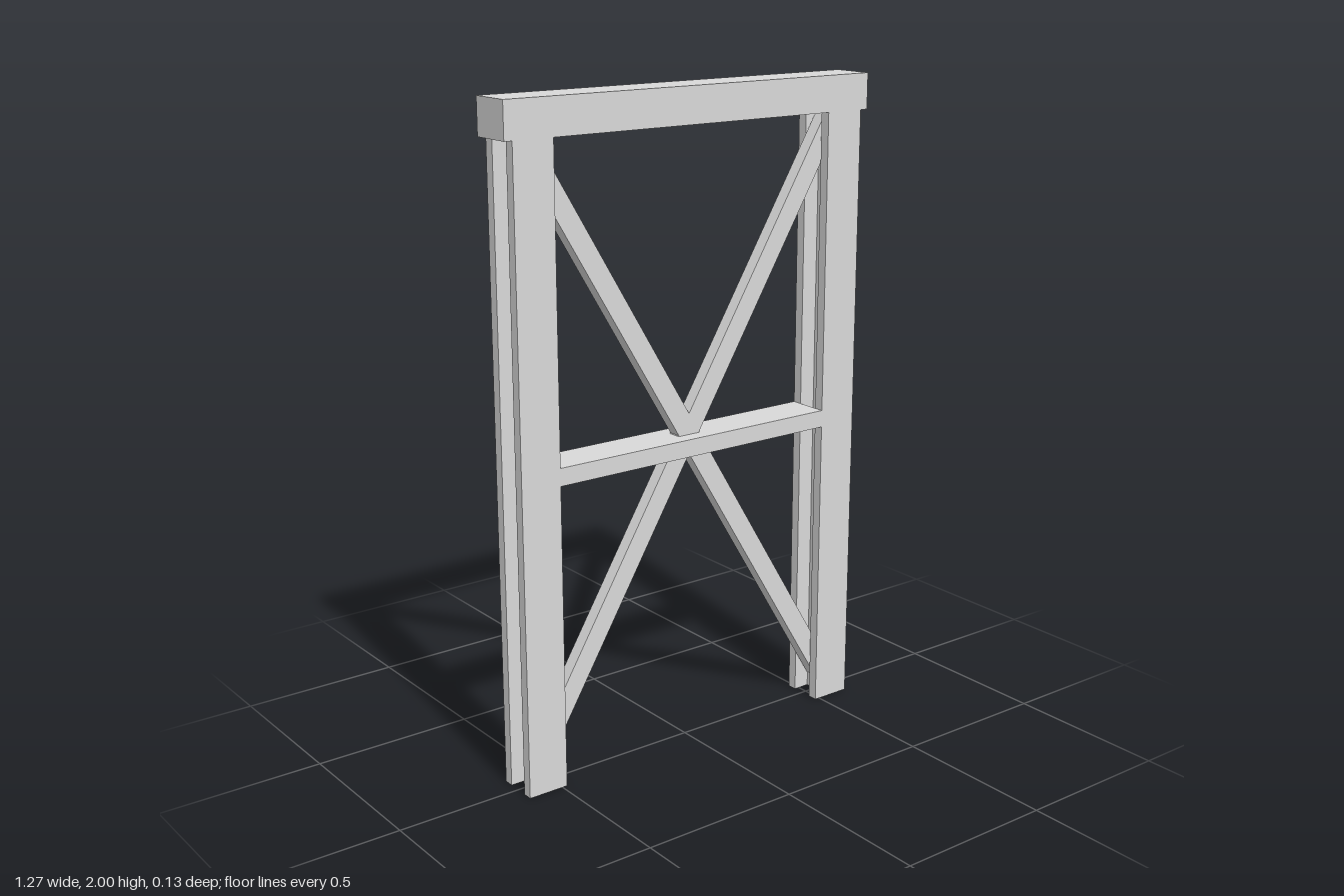
import * as THREE from 'three';

export function createModel() {
  const model = new THREE.Group();
  model.name = 'trestleFrame';
  const steel = new THREE.MeshStandardMaterial({ color: 0xd9d9d9 });
  steel.name = 'light grey steel';

  const add = (name, geometry, x, y, z = 0) => {
    const mesh = new THREE.Mesh(geometry, steel);
    mesh.name = name;
    mesh.position.set(x, y, z);
    model.add(mesh);
    return mesh;
  };

  const depth = 0.132;    // common depth of legs and beams
  const legX = 0.548;     // centre of each leg
  const legWidth = 0.128;
  const beamBottom = 1.892;

  // H-section: flanges at front and back joined by a central web
  const w = legWidth / 2, d = depth / 2, inner = 0.035, web = 0.011;
  const quarter = [[w, d], [w, inner], [web, inner]];
  const mirrored = (sx, sy) => quarter.map(([x, y]) => new THREE.Vector2(x * sx, y * sy));
  const section = new THREE.Shape([
    ...mirrored(1, 1),
    ...mirrored(1, -1).reverse(),
    ...mirrored(-1, -1),
    ...mirrored(-1, 1).reverse(),
  ]);
  const legGeometry = new THREE.ExtrudeGeometry(section, { depth: beamBottom, bevelEnabled: false });
  legGeometry.rotateX(-Math.PI / 2);

  // Diagonal brace running between the leg centres
  const rise = 1.812, run = 1.097;
  const braceGeometry = new THREE.BoxGeometry(0.064, Math.hypot(rise, run), 0.042);

  for (const [side, s] of [['left', 1], ['right', -1]]) {
    add(side + 'Leg', legGeometry, s * legX, 0);
    add(side + 'Brace', braceGeometry, 0, 0.98).rotation.z = -s * Math.atan2(run, rise);
  }

  // Horizontal beams
  add('topBeam', new THREE.BoxGeometry(1.274, 2 - beamBottom, depth), 0, (2 + beamBottom) / 2);
  add('middleBeam', new THREE.BoxGeometry(2 * (legX - w), 0.053, depth), 0, 0.951);

  return model;
}
